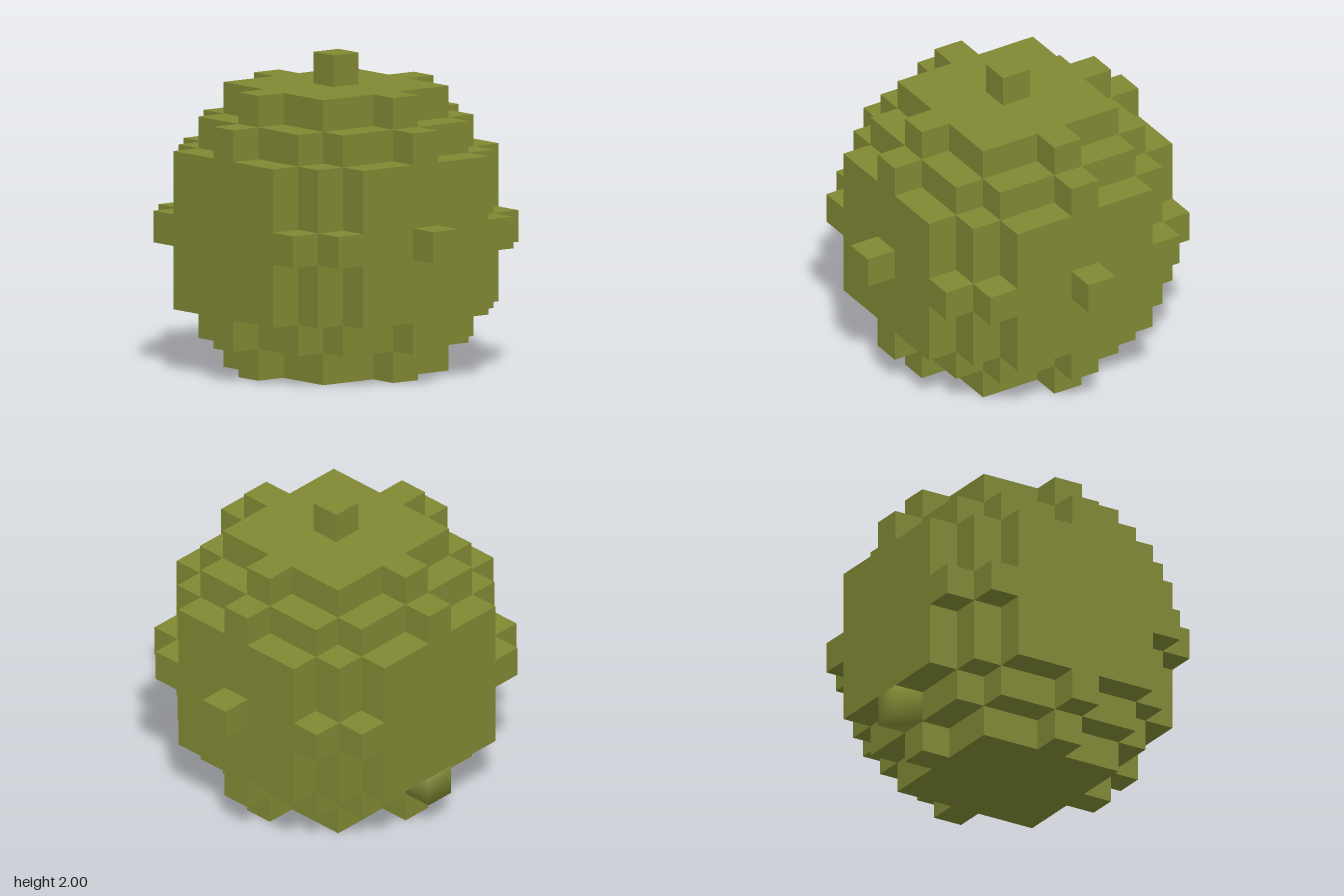
import * as THREE from 'three';
import { mergeGeometries, mergeVertices } from 'three/addons/utils/BufferGeometryUtils.js';

const CELL = 0.2;
const R = 5;
const MIN = -4; // the ball is trimmed on its negative sides, so only +x, +y and -z have a tip

// Is grid cell (i, j, k) part of the block ball?
const filled = (i, j, k) =>
  Math.min(i, j, k) >= MIN && i * i + j * j + k * k <= R * R;

// Centre of a cell; k counts towards the back
const centre = (i, j, k) =>
  new THREE.Vector3(-0.1 + i * CELL, 0.9 + j * CELL, 0.1 - k * CELL);

// One outward square per cube side, with the step to the neighbouring cell
function makeSides() {
  const turns = [
    { step: [1, 0, 0], ry: Math.PI / 2 },
    { step: [-1, 0, 0], ry: -Math.PI / 2 },
    { step: [0, 1, 0], rx: -Math.PI / 2 },
    { step: [0, -1, 0], rx: Math.PI / 2 },
    { step: [0, 0, 1], ry: Math.PI },
    { step: [0, 0, -1] },
  ];
  return turns.map(({ step, rx = 0, ry = 0 }) => ({
    step,
    square: new THREE.PlaneGeometry(CELL, CELL)
      .translate(0, 0, CELL / 2).rotateX(rx).rotateY(ry),
  }));
}

export function createModel() {
  const group = new THREE.Group();
  group.name = 'blockBall';
  const material = new THREE.MeshStandardMaterial({ color: 0x808833 });

  // The single cube with soft shading, low on the right side
  const soft = [-4, -3, 0];
  const isSoft = (i, j, k) => i === soft[0] && j === soft[1] && k === soft[2];

  // Ball: only the exposed cube sides
  const sides = makeSides();
  const faces = [];
  for (let i = MIN; i <= R; i++)
    for (let j = MIN; j <= R; j++)
      for (let k = MIN; k <= R; k++) {
        if (!filled(i, j, k) || isSoft(i, j, k)) continue;
        const c = centre(i, j, k);
        for (const { step, square } of sides) {
          if (filled(i + step[0], j + step[1], k + step[2])) continue;
          faces.push(square.clone().translate(c.x, c.y, c.z));
        }
      }
  const ball = new THREE.Mesh(mergeGeometries(faces), material);
  ball.name = 'ball';
  group.add(ball);

  // Soft cube: shared corners give smooth normals
  let cube = new THREE.BoxGeometry(CELL, CELL, CELL);
  cube.deleteAttribute('normal');
  cube.deleteAttribute('uv');
  cube = mergeVertices(cube);
  cube.computeVertexNormals();
  const softCube = new THREE.Mesh(cube, material);
  softCube.name = 'softCube';
  softCube.position.copy(centre(...soft));
  group.add(softCube);

  return group;
}
